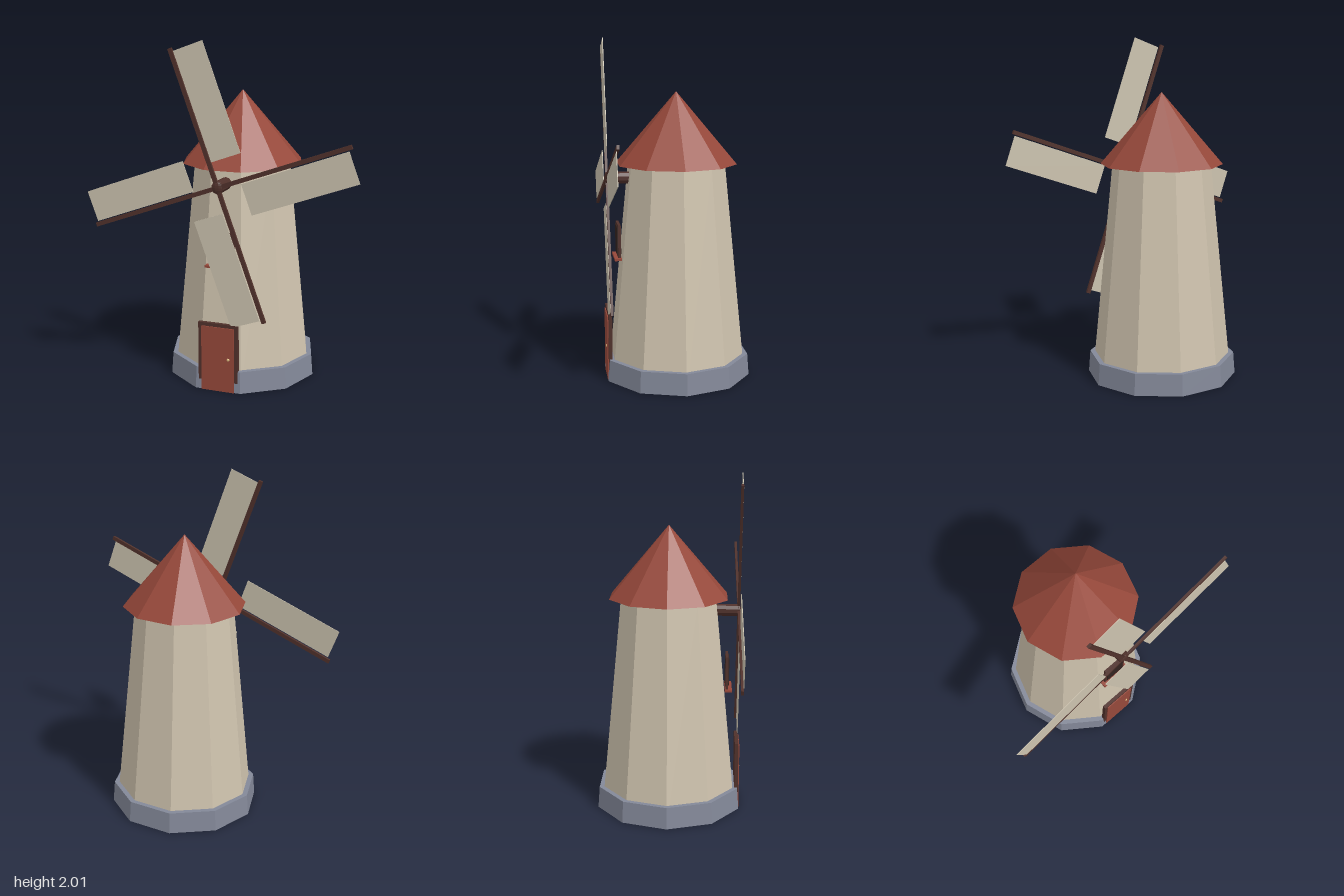
import * as THREE from 'three';

const mat = (name, color, flatShading = true) => {
  const m = new THREE.MeshStandardMaterial({ color, flatShading });
  m.name = name;
  return m;
};

export function createModel() {
  const plaster = mat('plaster', 0xcfc3ae);
  const cloth = mat('sailCloth', 0xcbc2ae);
  const red = mat('redPaint', 0x96483a);
  const wood = mat('darkWood', 0x50312b);
  const stone = mat('stone', 0x838898);
  const pane = mat('windowPane', 0x33231f);
  const brass = mat('brass', 0xd8b77c);

  const model = new THREE.Group();
  model.name = 'windmill';

  const add = (parent, name, geo, material, x = 0, y = 0, z = 0) => {
    const mesh = new THREE.Mesh(geo, material);
    mesh.name = name;
    mesh.position.set(x, y, z);
    parent.add(mesh);
    return mesh;
  };
  const box = (parent, name, w, h, d, material, x, y, z) =>
    add(parent, name, new THREE.BoxGeometry(w, h, d), material, x, y, z);

  // Ten-sided tiers, each with a flat side facing the front
  const tier = (name, rTop, rBottom, y0, y1, material) =>
    add(model, name, new THREE.CylinderGeometry(rTop, rBottom, y1 - y0, 10, 1, false, Math.PI / 10),
      material, 0, (y0 + y1) / 2, 0);
  tier('stoneBase', 0.435, 0.445, 0.002, 0.13, stone);
  tier('tower', 0.29, 0.418, 0, 1.28, plaster);
  tier('roof', 0, 0.36, 1.28, 1.7, red);

  // Door standing at the front of the base
  const door = new THREE.Group();
  door.name = 'door';
  model.add(door);
  box(door, 'doorFrame', 0.24, 0.405, 0.022, wood, 0, 0.2055, 0.408);
  box(door, 'doorPanel', 0.2, 0.388, 0.025, red, 0, 0.194, 0.4125);
  add(door, 'doorKnob', new THREE.SphereGeometry(0.009, 8, 6), brass, 0.065, 0.2, 0.424);

  // Window with a projecting sill
  const win = new THREE.Group();
  win.name = 'window';
  model.add(win);
  box(win, 'windowFrame', 0.15, 0.195, 0.016, wood, 0, 0.832, 0.345);
  box(win, 'windowPane', 0.12, 0.16, 0.024, pane, 0, 0.834, 0.346);
  box(win, 'windowSill', 0.19, 0.014, 0.042, red, 0, 0.728, 0.354);

  // Axle and rounded hub
  const axle = add(model, 'axle', new THREE.CylinderGeometry(0.036, 0.036, 0.16, 10), wood, 0, 1.2, 0.335);
  axle.rotation.x = Math.PI / 2;
  const hub = add(model, 'hub', new THREE.SphereGeometry(0.036, 10, 8), wood, 0, 1.2, 0.41);
  hub.scale.z = 0.4;

  // Four identical sails, each a spar with a cloth panel on one side
  const rotor = new THREE.Group();
  rotor.name = 'rotor';
  rotor.position.set(0, 1.2, 0.41);
  model.add(rotor);
  for (let i = 0; i < 4; i++) {
    const sail = new THREE.Group();
    sail.name = 'sail';
    sail.rotation.z = THREE.MathUtils.degToRad(20 + i * 90);
    rotor.add(sail);
    box(sail, 'spar', 0.805, 0.024, 0.015, wood, 0.4025, 0, 0);
    box(sail, 'sailPanel', 0.64, 0.182, 0.004, cloth, 0.465, -0.109, 0.007);
  }
  return model;
}
